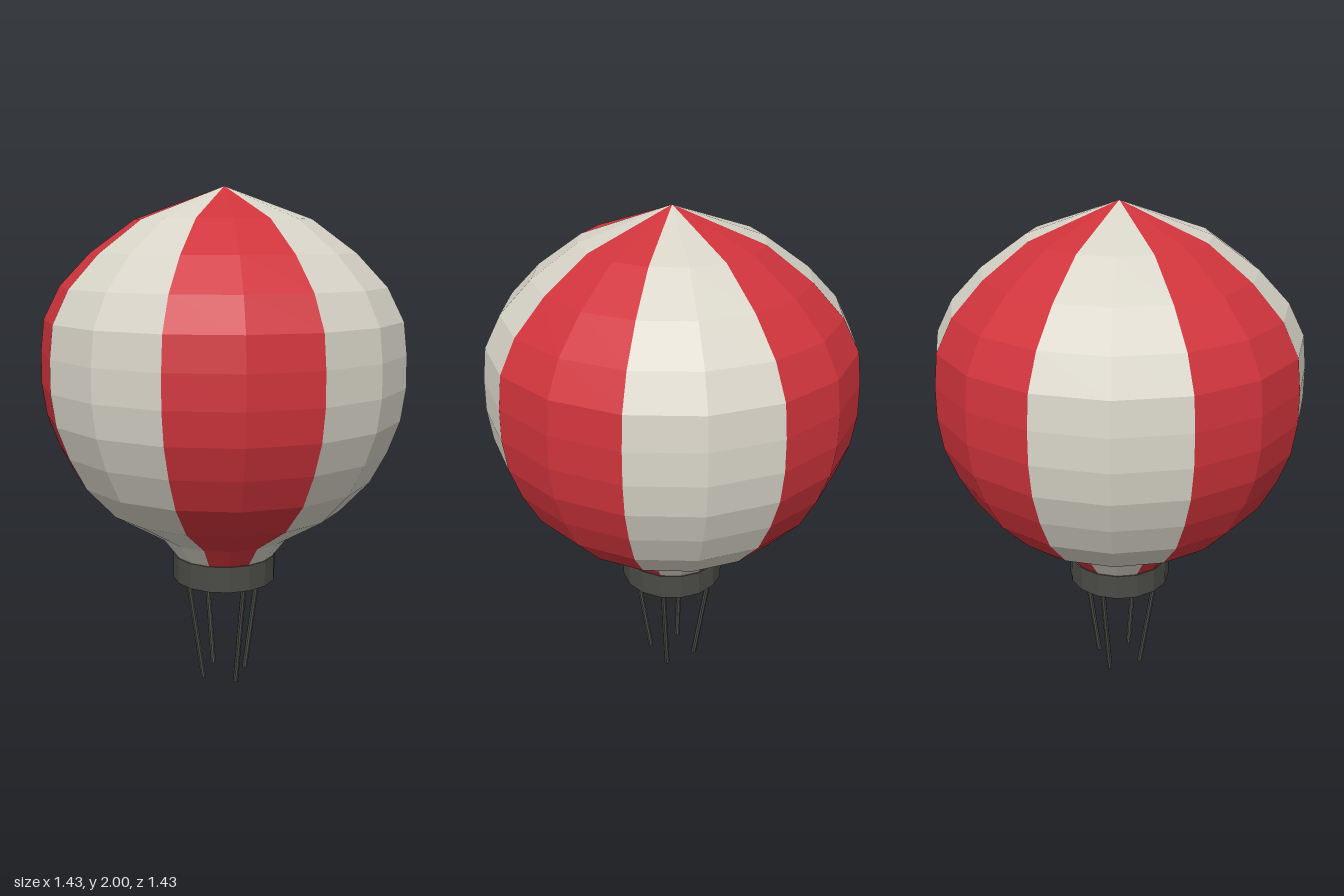
import * as THREE from 'three';

export function createModel() {
  const model = new THREE.Group();
  model.name = 'hotAirBalloon';

  const material = (name, color, side = THREE.FrontSide) => {
    const m = new THREE.MeshStandardMaterial({ color, side, flatShading: true });
    m.name = name;
    return m;
  };
  const red = material('red cloth', 0xd0343c, THREE.DoubleSide);
  const cream = material('cream cloth', 0xd8d4c8, THREE.DoubleSide);
  const dark = material('dark metal', 0x4a4b46);

  const add = (parent, name, geometry, mat) => {
    const mesh = new THREE.Mesh(geometry, mat);
    mesh.name = name;
    parent.add(mesh);
    return mesh;
  };
  const points = (list) => list.map(([r, y]) => new THREE.Vector2(r, y));

  // Envelope: eight gores, two facets each, alternating colours
  const profile = points([
    [0.205, 0.54], [0.27, 0.625], [0.475, 0.75], [0.59, 0.875], [0.655, 1.0], [0.7, 1.125],
    [0.717, 1.25], [0.715, 1.375], [0.7, 1.5], [0.636, 1.625], [0.517, 1.75], [0.345, 1.875], [0, 2],
  ]);
  const envelope = new THREE.Group();
  envelope.name = 'envelope';
  model.add(envelope);
  for (let i = 0; i < 8; i++) {
    const gore = new THREE.LatheGeometry(profile, 2, (i * Math.PI) / 4, Math.PI / 4);
    add(envelope, 'gore', gore, i % 2 ? cream : red);
  }

  // Hollow collar under the envelope
  const collar = points([[0.125, 0.435], [0.21, 0.435], [0.21, 0.54], [0.125, 0.54], [0.125, 0.435]]);
  add(model, 'collar', new THREE.LatheGeometry(collar, 16), dark);

  // Four struts leaning inwards towards the bottom
  const up = new THREE.Vector3(0, 1, 0);
  for (const sx of [-1, 1]) {
    for (const sz of [-1, 1]) {
      const top = new THREE.Vector3(sx * 0.118, 0.45, sz * 0.118);
      const bottom = new THREE.Vector3(sx * 0.07, 0.002, sz * 0.07);
      const axis = top.clone().sub(bottom);
      const strut = add(model, 'strut', new THREE.CylinderGeometry(0.011, 0.011, axis.length(), 8), dark);
      strut.position.copy(top).add(bottom).multiplyScalar(0.5);
      strut.quaternion.setFromUnitVectors(up, axis.normalize());
    }
  }
  return model;
}
